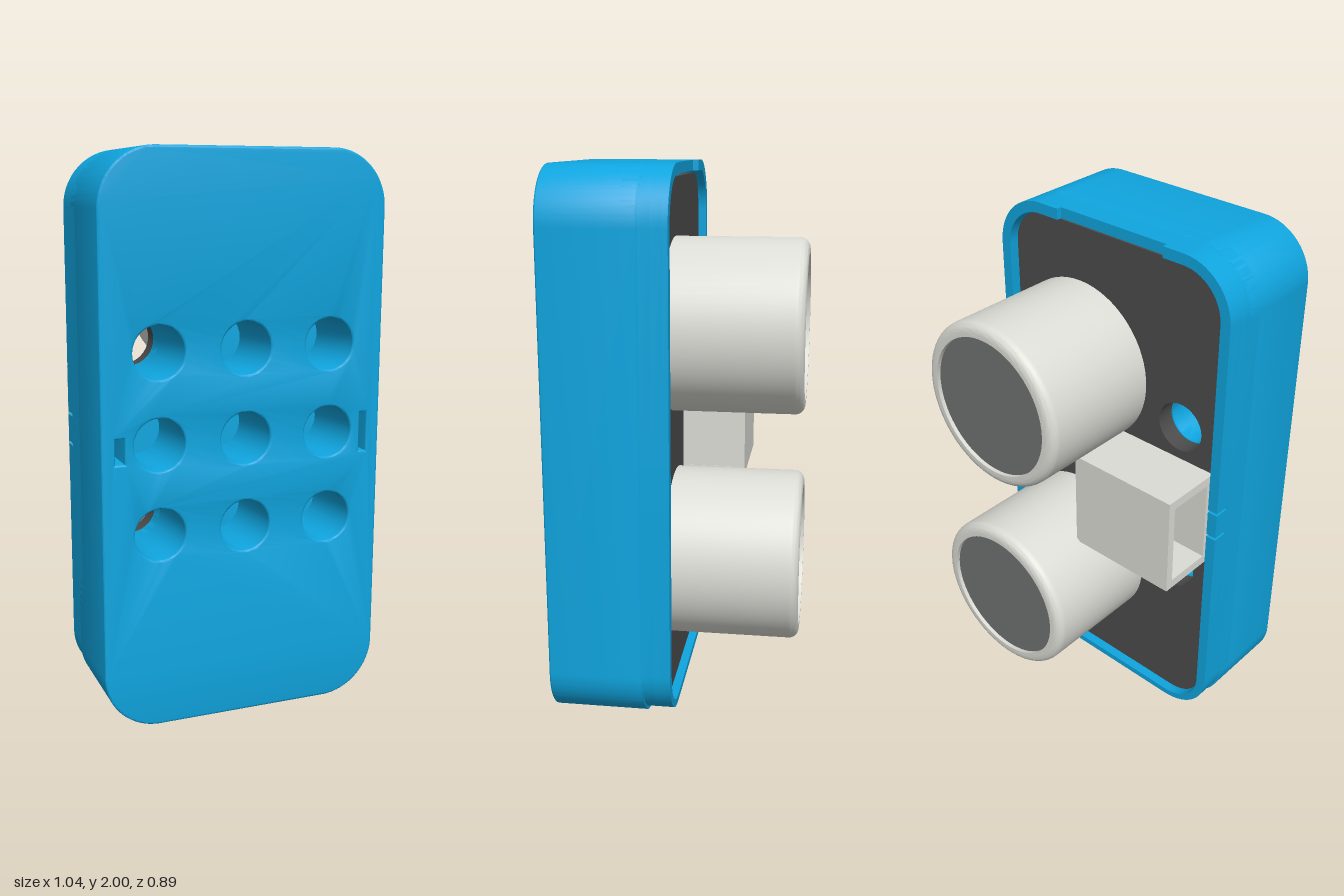
import * as THREE from 'three';
import { toCreasedNormals } from 'three/addons/utils/BufferGeometryUtils.js';

const W = 0.52, CY = 1, R = 0.2, WALL = 0.04;
const mat = (color, side = THREE.FrontSide) => new THREE.MeshStandardMaterial({ color, side });
const blue = mat(0x0fa5df), dark = mat(0x4b4b4b);
const light = mat(0xdcdcd6, THREE.DoubleSide), mesh = mat(0x707373);

// rounded rectangle centred on x = 0, y = CY
function roundedRect(w, h, r) {
  const s = new THREE.Shape();
  s.moveTo(w, CY - h + r);
  s.lineTo(w, CY + h - r);
  s.absarc(w - r, CY + h - r, r, 0, Math.PI / 2, false);
  s.absarc(-w + r, CY + h - r, r, Math.PI / 2, Math.PI, false);
  s.absarc(-w + r, CY - h + r, r, Math.PI, Math.PI * 1.5, false);
  s.absarc(w - r, CY - h + r, r, Math.PI * 1.5, Math.PI * 2, false);
  return s;
}
const rect = (x0, y0, x1, y1) => new THREE.Shape([[x0, y0], [x1, y0], [x1, y1], [x0, y1]].map(p => new THREE.Vector2(...p)));
const circle = (x, y, r) => new THREE.Path().absarc(x, y, r, 0, Math.PI * 2, true);

// straight extrusion between two depths, optionally with a small edge rounding
function slab(name, shape, z0, z1, material, bevel = 0) {
  let g = new THREE.ExtrudeGeometry(shape, {
    depth: z1 - z0 - 2 * bevel, curveSegments: 20, bevelEnabled: bevel > 0,
    bevelThickness: bevel, bevelSize: bevel, bevelOffset: -bevel, bevelSegments: 3,
  });
  g.translate(0, 0, z0 + bevel);
  g = toCreasedNormals(g, 0.6);
  const m = new THREE.Mesh(g, material);
  m.name = name;
  return m;
}

// one corner of the back rim, from (xEnd, top) round to (side, yEnd)
function rimQuarter(sx, sy, xEnd, yEnd, h) {
  const pts = [];
  const arc = (w, hh, r) => {
    const out = [[xEnd, hh]];
    for (let i = 0; i <= 14; i++) {
      const a = Math.PI / 2 * (1 - i / 14);
      out.push([w - r + r * Math.cos(a), hh - r + r * Math.sin(a)]);
    }
    out.push([w, yEnd]);
    return out;
  };
  pts.push(...arc(W, h, R), ...arc(W - WALL, 1 - WALL, R - WALL).reverse());
  return new THREE.Shape(pts.map(([x, y]) => new THREE.Vector2(sx * x, CY + sy * y)));
}

function createCase() {
  const g = new THREE.Group();
  g.name = 'case';
  // front block with a 3 x 3 grid of sockets and two clip slots
  const front = roundedRect(W, 1, R);
  for (const x of [-0.315, 0, 0.315])
    for (const y of [0.7, 1.015, 1.33]) front.holes.push(circle(x, y, 0.092));
  front.holes.push(rect(-0.472, 0.958, -0.438, 1.047), rect(0.443, 0.933, 0.47, 1.077));
  g.add(slab('frontBlock', front, 0.1, 0.445, blue, 0.008));
  // plate closing the sockets, open only at the two on the right
  const back = roundedRect(W, 1, R);
  for (const y of [0.7, 1.33]) back.holes.push(circle(-0.315, y, 0.092));
  g.add(slab('socketFloor', back, 0.1, 0.16, blue));
  // rim: shallow top notch, recessed bottom edge, slits beside the side clip
  for (const sx of [-1, 1]) {
    const up = sx < 0 ? 0.065 : 0, down = sx < 0 ? 0.055 : 0;
    g.add(slab('rimUpper', rimQuarter(sx, 1, 0.235, up, 1), 0, 0.02, blue));
    g.add(slab('rimUpper', rimQuarter(sx, 1, 0, up, 1), 0.02, 0.06, blue));
    g.add(slab('rimUpper', rimQuarter(sx, 1, 0, 0, 1), 0.06, 0.1, blue));
    g.add(slab('rimLower', rimQuarter(sx, -1, 0, down, 0.985), 0, 0.06, blue));
    g.add(slab('rimLower', rimQuarter(sx, -1, 0, 0, 0.985), 0.06, 0.1, blue));
  }
  g.add(slab('sideClip', rect(-W, 0.955, -W + WALL, 1.055), 0, 0.06, blue));
  // snap tab holding the board on the left
  g.add(slab('snapTab', rect(W - WALL - 0.02, 0.94, W - WALL, 1.07), 0.005, 0.03, blue));
  return g;
}

function createSensor(y) {
  const g = new THREE.Group();
  g.name = 'sensor';
  const r = 0.313, f = 0.035, len = 0.485;
  const profile = [new THREE.Vector2(r, 0)];
  for (let i = 0; i <= 8; i++) {
    const a = Math.PI / 2 * i / 8;
    profile.push(new THREE.Vector2(r - f + f * Math.cos(a), len - f + f * Math.sin(a)));
  }
  profile.push(new THREE.Vector2(0.262, len), new THREE.Vector2(0.262, len - 0.02));
  const can = new THREE.Mesh(toCreasedNormals(new THREE.LatheGeometry(profile, 64), 0.6), light);
  can.name = 'sensorCan';
  const face = new THREE.Mesh(new THREE.CylinderGeometry(0.262, 0.262, 0.02, 64), mesh);
  face.name = 'sensorMesh';
  face.position.y = len - 0.025;
  g.add(can, face);
  g.rotation.x = -Math.PI / 2;
  g.position.set(0.157, y, 0.04);
  return g;
}

function createConnector() {
  const g = new THREE.Group();
  g.name = 'connector';
  // hollow sleeve opening to the right, closed at its inner end
  const sleeve = rect(-0.21, 0.81, 0.045, 1.2);
  sleeve.holes.push(rect(-0.18, 0.845, 0.0, 1.165));
  g.add(slab('connectorSleeve', sleeve, 0, 0.44, light));
  g.add(slab('connectorEnd', rect(-0.205, 0.815, 0.04, 1.195), 0.002, 0.1, light));
  g.rotation.y = -Math.PI / 2;
  g.position.x = -0.03;
  return g;
}

export function createModel() {
  const model = new THREE.Group();
  model.name = 'distanceSensorModule';
  // circuit board with two mounting holes
  const board = roundedRect(0.47, 0.95, 0.14);
  for (const y of [0.7, 1.33]) board.holes.push(circle(-0.315, y, 0.095));
  model.add(createCase(), slab('circuitBoard', board, 0.03, 0.1, dark));
  model.add(createSensor(1.433), createSensor(0.572), createConnector());
  return model;
}
